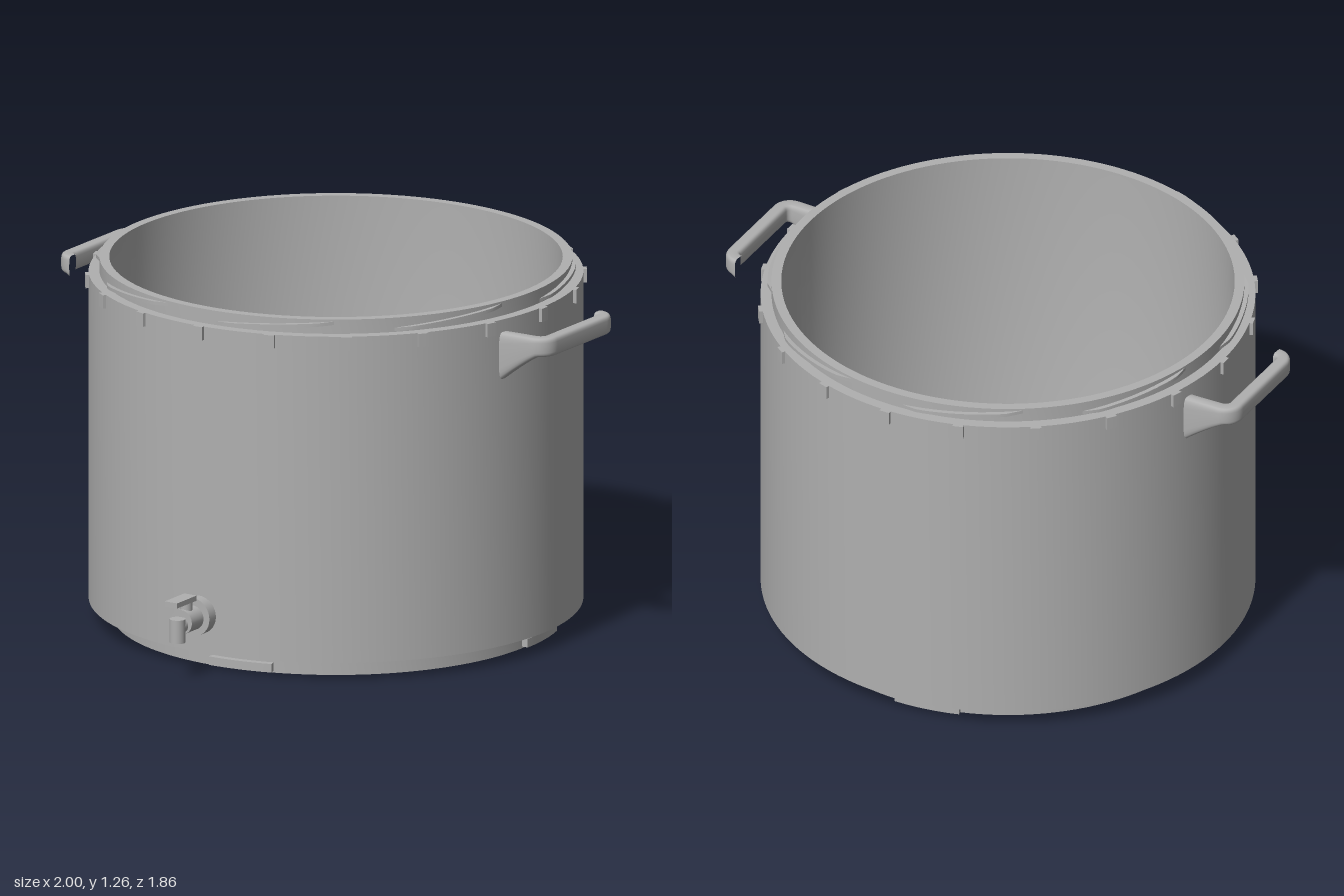
import * as THREE from 'three';
import { toCreasedNormals } from 'three/addons/utils/BufferGeometryUtils.js';

const grey = new THREE.MeshStandardMaterial({ color: 0xb0b0b0 });
grey.name = 'plain grey';

function add(parent, name, geometry) {
  const mesh = new THREE.Mesh(geometry, grey);
  mesh.name = name;
  parent.add(mesh);
  return mesh;
}

// Box bent round the pot axis; angle 0 is the front, growing towards +x.
// It can climb along its length and taper to nothing at both ends.
function bentBox(r0, r1, y0, y1, a0, a1, rise = 0, taper = false) {
  const g = new THREE.BoxGeometry(1, 1, 1, 16, 1, 1);
  const p = g.attributes.position;
  for (let i = 0; i < p.count; i++) {
    const u = p.getX(i) + 0.5;
    const bulge = taper ? Math.min(1, 5 * u, 5 * (1 - u)) : 1;
    const a = THREE.MathUtils.degToRad(a0 + (a1 - a0) * u);
    const r = p.getZ(i) > 0 ? r0 + (r1 - r0) * bulge : r0;
    const y = (p.getY(i) > 0 ? y1 : y0) + rise * u;
    p.setXYZ(i, r * Math.sin(a), y, r * Math.cos(a));
  }
  g.computeVertexNormals();
  return g;
}

// U-shaped grip whose legs deepen towards the pot wall
function handleGeometry() {
  const path = new THREE.Path();
  path.moveTo(0.79, -0.195);
  path.absarc(0.935, -0.155, 0.04, -Math.PI / 2, 0);
  path.absarc(0.935, 0.155, 0.04, 0, Math.PI / 2);
  path.lineTo(0.79, 0.195);
  const pts = path.getSpacedPoints(90);
  const sides = 24, top = 1.167, pos = [], index = [];
  const round = (v) => Math.sign(v) * Math.sqrt(Math.abs(v));
  pts.forEach((pt, i) => {
    const d = pts[Math.min(i + 1, 90)].clone().sub(pts[Math.max(i - 1, 0)]).normalize();
    for (let j = 0; j < sides; j++) {
      const t = (j / sides) * Math.PI * 2;
      const out = 0.025 * round(Math.cos(t));
      const x = pt.x + d.y * out;
      const z = pt.y - d.x * out;
      const depth = Math.max(0, (0.955 - x) / 0.125);
      const low = 1.1 - 0.085 * Math.pow(depth, 1.15);
      pos.push(x, (top + low) / 2 + ((top - low) / 2) * round(Math.sin(t)), z);
      if (i < 90) {
        const a = i * sides + j, b = i * sides + ((j + 1) % sides);
        index.push(a, b, a + sides, b, b + sides, a + sides);
      }
    }
  });
  const g = new THREE.BufferGeometry();
  g.setAttribute('position', new THREE.Float32BufferAttribute(pos, 3));
  g.setIndex(index);
  g.computeVertexNormals();
  return g;
}

function buildTap() {
  const tap = new THREE.Group();
  tap.name = 'tap';
  // Horizontal cylinder along z
  const pipe = (name, r, z0, z1, y) => {
    const g = new THREE.CylinderGeometry(r, r, z1 - z0, 32).rotateX(Math.PI / 2);
    add(tap, name, g).position.set(0, y, (z0 + z1) / 2);
  };
  const post = (name, r, y0, y1, z) => {
    add(tap, name, new THREE.CylinderGeometry(r, r, y1 - y0, 32)).position.set(0, (y0 + y1) / 2, z);
  };
  pipe('tapFlange', 0.066, 0.8, 0.874, 0.197);
  pipe('tapBody', 0.042, 0.86, 0.945, 0.195);
  pipe('tapOutlet', 0.027, 0.93, 0.97, 0.185);
  post('tapSpout', 0.027, 0.13, 0.212, 0.969);
  post('leverStem', 0.021, 0.2, 0.265, 0.916);
  add(tap, 'tapLever', new THREE.BoxGeometry(0.05, 0.018, 0.12)).position.set(0, 0.27, 0.95);
  return tap;
}

export function createModel() {
  const model = new THREE.Group();
  model.name = 'stockPot';
  const pot = new THREE.Group();
  pot.name = 'pot';
  pot.position.z = -0.08;
  model.add(pot);

  // Vessel: recessed base, foot ring, wall, neck, and hollow with rounded floor edge
  const profile = [
    [0, 0.078], [0.72, 0.078], [0.72, 0], [0.755, 0], [0.755, 0.065],
    [0.837, 0.065], [0.837, 1.21], [0.8, 1.21], [0.8, 1.26], [0.767, 1.26],
  ].map(([x, y]) => new THREE.Vector2(x, y));
  for (let i = 0; i <= 8; i++) {
    const a = (i / 8) * Math.PI / 2;
    profile.push(new THREE.Vector2(0.717 + 0.05 * Math.cos(a), 0.16 - 0.05 * Math.sin(a)));
  }
  profile.push(new THREE.Vector2(0, 0.11));
  add(pot, 'vessel', toCreasedNormals(new THREE.LatheGeometry(profile, 128), 0.5));
  add(pot, 'floorButton', new THREE.CylinderGeometry(0.04, 0.04, 0.008, 32)).position.y = 0.112;

  // Small grip ribs below the shoulder
  for (let i = 0; i < 20; i++) {
    const a = i * 18;
    add(pot, 'rimRib', bentBox(0.82, 0.849, 1.163, 1.21, a - 1.25, a + 1.25));
  }
  // Slanted threads on the neck
  for (let i = 0; i < 8; i++) {
    add(pot, 'neckThread', bentBox(0.79, 0.815, 1.21, 1.222, i * 45, i * 45 + 36, 0.034, true));
  }
  // Locking lugs on the foot
  for (let i = 0; i < 4; i++) {
    add(pot, 'footLug', bentBox(0.74, 0.778, 0.006, 0.036, i * 90, i * 90 + 17.3));
  }

  const grip = handleGeometry();
  add(pot, 'leftHandle', grip);
  add(pot, 'rightHandle', grip).rotation.y = Math.PI;
  pot.add(buildTap());
  return model;
}
